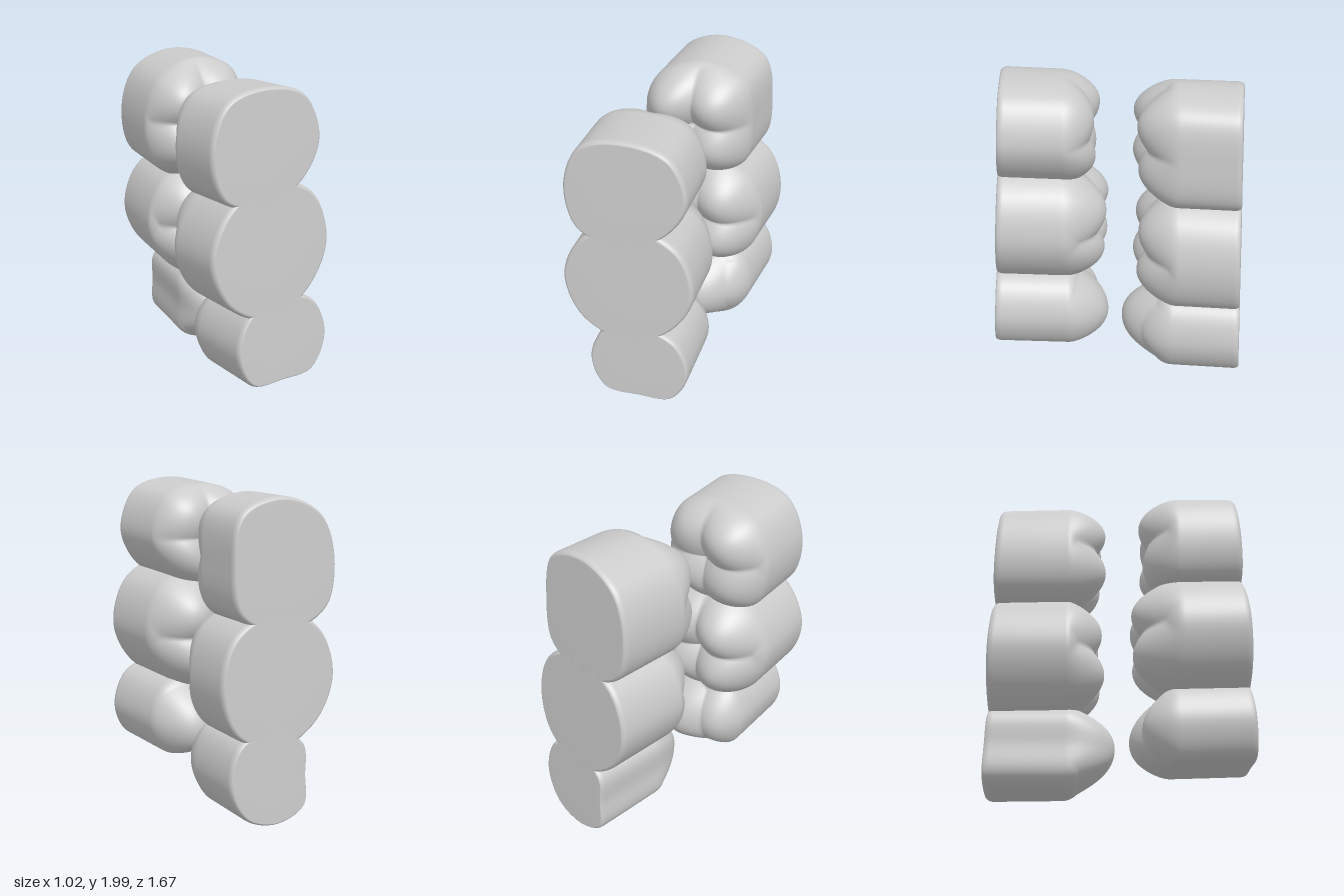
import * as THREE from 'three';
import { mergeVertices } from 'three/addons/utils/BufferGeometryUtils.js';

const SEGMENTS = 112, CROWN_RINGS = 40;
const material = new THREE.MeshStandardMaterial({ color: 0xcccccc });

// Each row: plane of its base and lean of its walls, where h is the distance from z = 0
const front = {
  sign: 1,
  base: (x, y) => 0.85 - 0.058 * y,
  lean: h => [0, 0.06 * (h - 0.75)],
};
const back = {
  sign: -1,
  base: (x, y) => 0.765 - 0.035 * y + 0.14 * (0.45 - x),
  lean: h => [0.13 * (h - 0.72), 0],
};

// Rounded outline through eight radii, clockwise from the top in steps of 45 degrees
function outlineLoop(cx, cy, radii) {
  const points = radii.map((r, i) => {
    const a = i * Math.PI / 4;
    return new THREE.Vector3(cx + r * Math.sin(a), cy + r * Math.cos(a), 0);
  });
  return new THREE.CatmullRomCurve3(points, true).getSpacedPoints(SEGMENTS).slice(0, SEGMENTS);
}

// Cusps are offsets from the tooth centre with a height and a radius; molars carry four
const cusp = (dx, dy, height, radius) => ({ dx, dy, height, radius });
const fourCusps = heights => heights.map((height, i) =>
  cusp(i % 2 ? 0.17 : -0.15, i < 2 ? 0.16 : -0.16, height, 0.24));

// Shrinking rings: flat base, rounded rim, straight wall, then the cusped crown
function makeTooth(name, row, [cx, cy], radii, edge, floor, cusps) {
  const loop = outlineLoop(cx, cy, radii);

  // Cusps meet in fissures, as only the tallest counts at each point
  const crownDepth = (x, y, r) => {
    const dome = Math.sqrt(1 - r ** 4);
    const bumps = cusps.map(c =>
      c.height * (1 - ((x - cx - c.dx) ** 2 + (y - cy - c.dy) ** 2) / c.radius ** 2));
    return edge - (edge - floor + Math.max(0, ...bumps)) * dome;
  };

  const rings = [{ r: 0, depth: row.base }, { r: 0.5, depth: row.base }];
  for (let k = 0; k <= 5; k++) {
    const a = (k / 5) * Math.PI / 2;
    rings.push({ r: 0.94 + 0.06 * Math.sin(a), depth: (x, y) => row.base(x, y) - 0.04 * (1 - Math.cos(a)) });
  }
  for (let k = 0; k <= CROWN_RINGS; k++) {
    const r = k === CROWN_RINGS ? 0 : Math.cos((k / CROWN_RINGS) * Math.PI / 2);
    rings.push({ r, depth: (x, y) => crownDepth(x, y, r) });
  }

  const positions = [], index = [];
  rings.forEach(({ r, depth }, i) => {
    loop.forEach((p, j) => {
      const x = cx + (p.x - cx) * r;
      const y = cy + (p.y - cy) * r;
      const h = depth(x, y);
      const [dx, dy] = row.lean(h);
      positions.push(x + dx, y + dy, row.sign * h);
      if (i === 0) return;
      const next = (j + 1) % SEGMENTS;
      const a = (i - 1) * SEGMENTS + j, b = (i - 1) * SEGMENTS + next;
      const c = i * SEGMENTS + j, d = i * SEGMENTS + next;
      if (row.sign > 0) index.push(a, b, c, b, d, c);
      else index.push(a, c, b, b, c, d);
    });
  });

  const geometry = new THREE.BufferGeometry();
  geometry.setAttribute('position', new THREE.Float32BufferAttribute(positions, 3));
  geometry.setIndex(index);
  const smooth = mergeVertices(geometry, 1e-5);
  smooth.computeVertexNormals();
  const mesh = new THREE.Mesh(smooth, material);
  mesh.name = name;
  return mesh;
}

export function createModel() {
  const model = new THREE.Group();
  model.name = 'opposingTeeth';

  // Neighbouring teeth overlap, so each row reads as one fused strip
  const frontRow = new THREE.Group();
  frontRow.name = 'frontRow';
  frontRow.add(
    makeTooth('upperMolar', front, [-0.11, 1.66], [0.34, 0.38, 0.37, 0.34, 0.36, 0.42, 0.38, 0.38],
      0.36, 0.24, fourCusps([0.13, 0.09, 0.1, 0.1])),
    makeTooth('middleMolar', front, [-0.1, 1.02], [0.43, 0.44, 0.41, 0.39, 0.43, 0.42, 0.41, 0.405],
      0.38, 0.22, fourCusps([0.16, 0.14, 0.15, 0.13])),
    makeTooth('lowerPremolar', front, [-0.03, 0.42], [0.31, 0.33, 0.32, 0.305, 0.24, 0.32, 0.32, 0.32],
      0.36, 0.24, [cusp(0.08, -0.02, 0.16, 0.27), cusp(-0.16, 0, 0.1, 0.22)]),
  );

  const backRow = new THREE.Group();
  backRow.name = 'backRow';
  backRow.add(
    makeTooth('upperMolar', back, [0.07, 1.6], [0.38, 0.41, 0.35, 0.43, 0.42, 0.42, 0.36, 0.375],
      0.35, 0.24, fourCusps([0.16, 0.15, 0.16, 0.14])),
    makeTooth('middleMolar', back, [0.12, 0.89], [0.42, 0.415, 0.39, 0.42, 0.42, 0.39, 0.4, 0.42],
      0.35, 0.24, fourCusps([0.14, 0.14, 0.16, 0.15])),
    makeTooth('lowerPremolar', back, [0.14, 0.29], [0.31, 0.35, 0.325, 0.31, 0.285, 0.28, 0.21, 0.28],
      0.33, 0.19, [cusp(0.01, 0.02, 0.18, 0.27), cusp(0.2, 0.03, 0.08, 0.2)]),
  );

  model.add(frontRow, backRow);
  return model;
}
